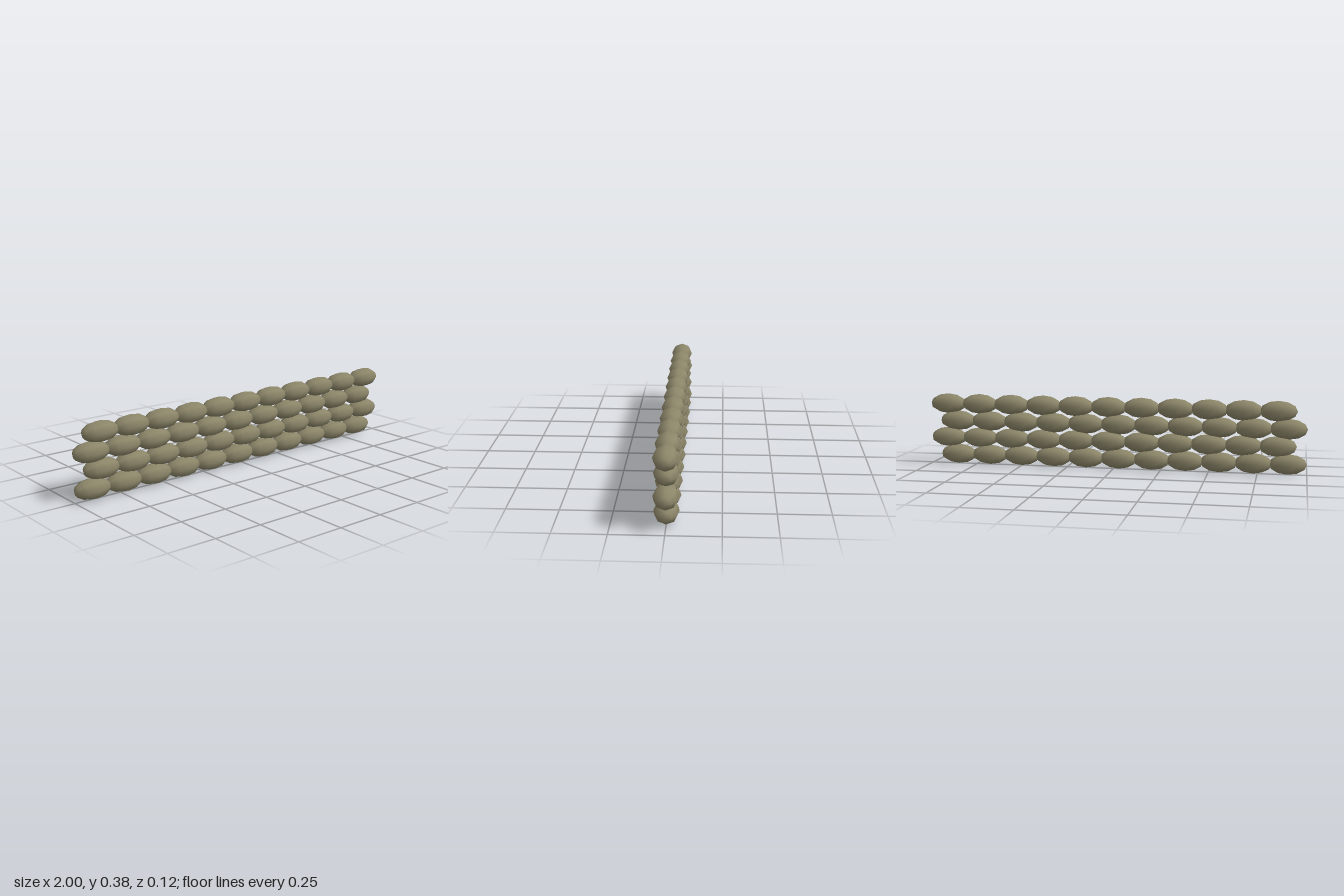
import * as THREE from 'three';

export function createModel() {
  const group = new THREE.Group();
  group.name = 'sandbagWall';

  const canvas = new THREE.MeshStandardMaterial({ color: 0x8c8669 });
  canvas.name = 'olive canvas';

  const rows = 4, perRow = 11;
  const pitch = 2 / 11.4;              // spacing of bags along a row
  const rowPitch = pitch * 0.517;      // rows sink slightly into each other
  const shift = pitch * 0.3;           // stagger of alternate rows
  const rx = pitch * 0.55, ry = pitch * 0.304, rz = pitch * 0.338;

  // Plump low-poly bag with its tied ends along x
  const bag = new THREE.SphereGeometry(1, 8, 6);
  bag.rotateZ(Math.PI / 2);
  bag.scale(rx, ry, rz);

  for (let r = 0; r < rows; r++) {
    const row = new THREE.Group();
    row.name = `bagRow${r + 1}`;
    row.position.set((r % 2 ? 0.5 : -0.5) * shift, ry + r * rowPitch, 0);
    for (let i = 0; i < perRow; i++) {
      const mesh = new THREE.Mesh(bag, canvas);
      mesh.name = 'sandbag';
      mesh.position.x = (i - (perRow - 1) / 2) * pitch;
      row.add(mesh);
    }
    group.add(row);
  }
  return group;
}
